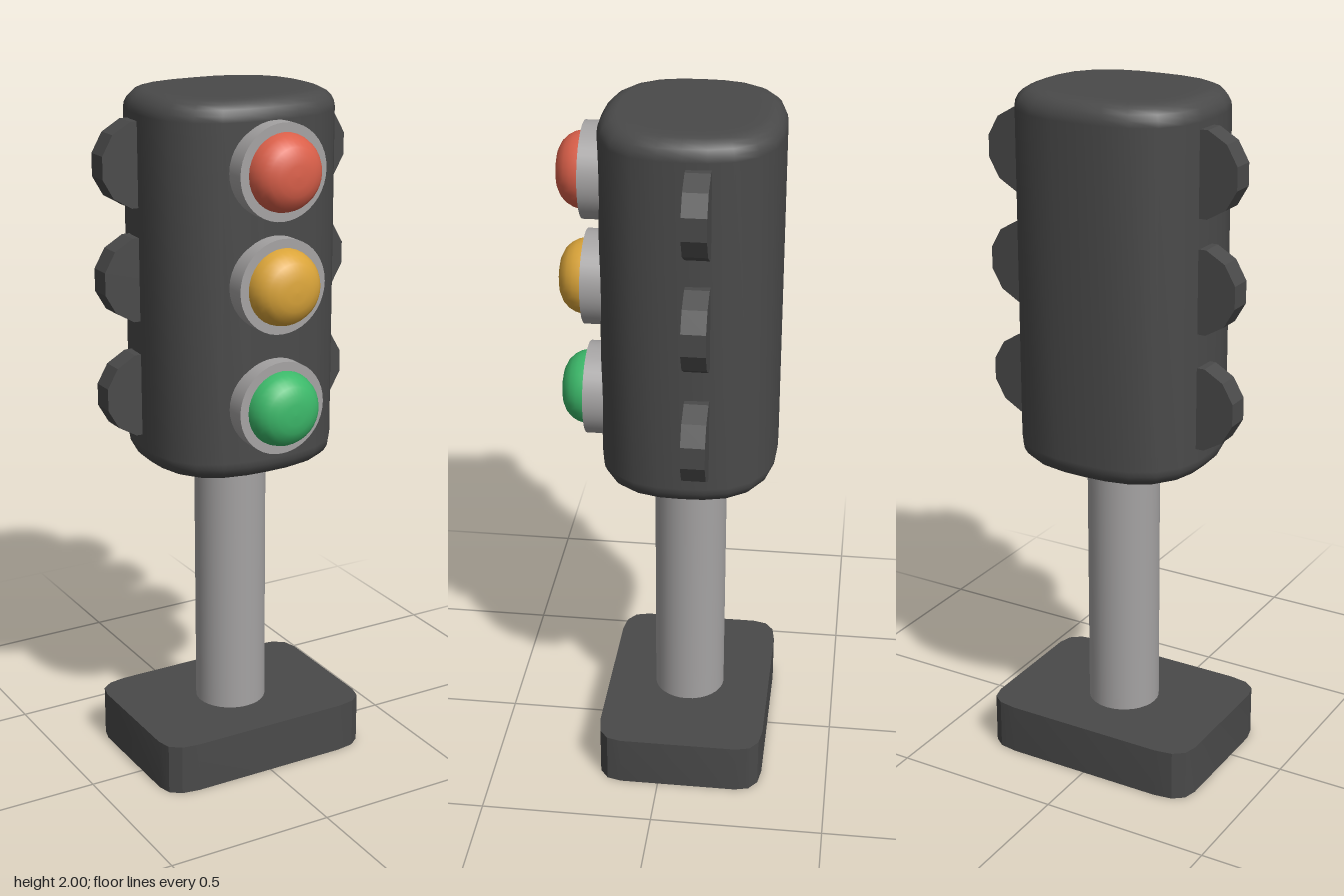
import * as THREE from 'three';
import { mergeVertices, toCreasedNormals } from 'three/addons/utils/BufferGeometryUtils.js';

const AXIS_Z = -0.06; // depth of the pole, housing and base centre

function material(name, color) {
  const m = new THREE.MeshStandardMaterial({ color });
  m.name = name;
  return m;
}

function lathe(points, segments) {
  return new THREE.LatheGeometry(points.map(([r, y]) => new THREE.Vector2(r, y)), segments);
}

// Housing: a turned profile whose circular section becomes a superellipse
function housingGeometry() {
  const bottom = 0.94, top = 2, bevel = 0.055, inset = 0.2, steps = 5;
  const profile = [[0, bottom], [0.7, bottom]];
  for (let i = 0; i <= steps; i++) {
    const a = (i / steps) * Math.PI / 2;
    profile.push([1 - inset + inset * Math.sin(a), bottom + bevel * (1 - Math.cos(a))]);
  }
  for (let i = 0; i <= steps; i++) {
    const a = (i / steps) * Math.PI / 2;
    profile.push([1 - inset + inset * Math.cos(a), top - bevel * (1 - Math.sin(a))]);
  }
  profile.push([0.7, top], [0, top]);

  const g = lathe(profile, 24);
  const p = g.attributes.position;
  const n = 2.7;
  for (let i = 0; i < p.count; i++) {
    const x = p.getX(i), z = p.getZ(i), r = Math.hypot(x, z);
    if (r < 1e-6) continue;
    const f = 1 / Math.pow(Math.abs(x / r) ** n + Math.abs(z / r) ** n, 1 / n);
    p.setX(i, x * f * 0.28);
    p.setZ(i, z * f * 0.25);
  }
  g.deleteAttribute('normal');
  g.deleteAttribute('uv');
  const welded = mergeVertices(g, 1e-5);
  welded.computeVertexNormals();
  return welded;
}

// Base: rectangle with rounded corners, extruded upward
function baseGeometry() {
  const w = 0.336, d = 0.245, rx = 0.095, rz = 0.073;
  const s = new THREE.Shape();
  s.moveTo(-w + rx, -d);
  s.lineTo(w - rx, -d);
  s.quadraticCurveTo(w, -d, w, -d + rz);
  s.lineTo(w, d - rz);
  s.quadraticCurveTo(w, d, w - rx, d);
  s.lineTo(-w + rx, d);
  s.quadraticCurveTo(-w, d, -w, d - rz);
  s.lineTo(-w, -d + rz);
  s.quadraticCurveTo(-w, -d, -w + rx, -d);
  const g = new THREE.ExtrudeGeometry(s, { depth: 0.15, bevelEnabled: false, curveSegments: 3 });
  g.rotateX(-Math.PI / 2);
  return toCreasedNormals(g, 0.3);
}

export function createModel() {
  const model = new THREE.Group();
  model.name = 'trafficLight';
  const dark = material('charcoal', 0x4a4a4a);
  const grey = material('metalGrey', 0xa5a3a3);

  const add = (name, geometry, mat, x, y, z) => {
    const mesh = new THREE.Mesh(geometry, mat);
    mesh.name = name;
    mesh.position.set(x, y, z);
    model.add(mesh);
    return mesh;
  };

  add('base', baseGeometry(), dark, 0, 0, AXIS_Z);
  add('pole', new THREE.CylinderGeometry(0.105, 0.105, 0.86, 32), grey, 0, 0.55, AXIS_Z);
  add('housing', housingGeometry(), dark, 0, 0, AXIS_Z);

  // Lamps: a grey rim with a flattened dome lens
  const rim = new THREE.CylinderGeometry(0.133, 0.133, 0.095, 40).rotateX(Math.PI / 2);
  const lens = lathe([
    [0.108, -0.01], [0.107, 0.005], [0.102, 0.025], [0.092, 0.043],
    [0.077, 0.058], [0.055, 0.069], [0.03, 0.074], [0, 0.075],
  ], 32).rotateX(Math.PI / 2);
  const lamps = [
    ['red', 0xdb604a, 1.812],
    ['amber', 0xdba53a, 1.5],
    ['green', 0x3cb96a, 1.155],
  ];
  for (const [name, color, y] of lamps) {
    add(name + 'Rim', rim, grey, 0, y, 0.1875);
    add(name + 'Lens', lens, material(name, color), 0, y, 0.235);
  }

  // Side fins: twelve-sided discs half sunk into the housing
  const fin = toCreasedNormals(
    new THREE.CylinderGeometry(0.123, 0.123, 0.067, 12).rotateX(Math.PI / 2).rotateZ(Math.PI / 12), 0.3);
  for (const y of [1.808, 1.487, 1.153]) {
    add('leftFin', fin, dark, 0.266, y, -0.104);
    add('rightFin', fin, dark, -0.266, y, -0.104);
  }
  return model;
}
